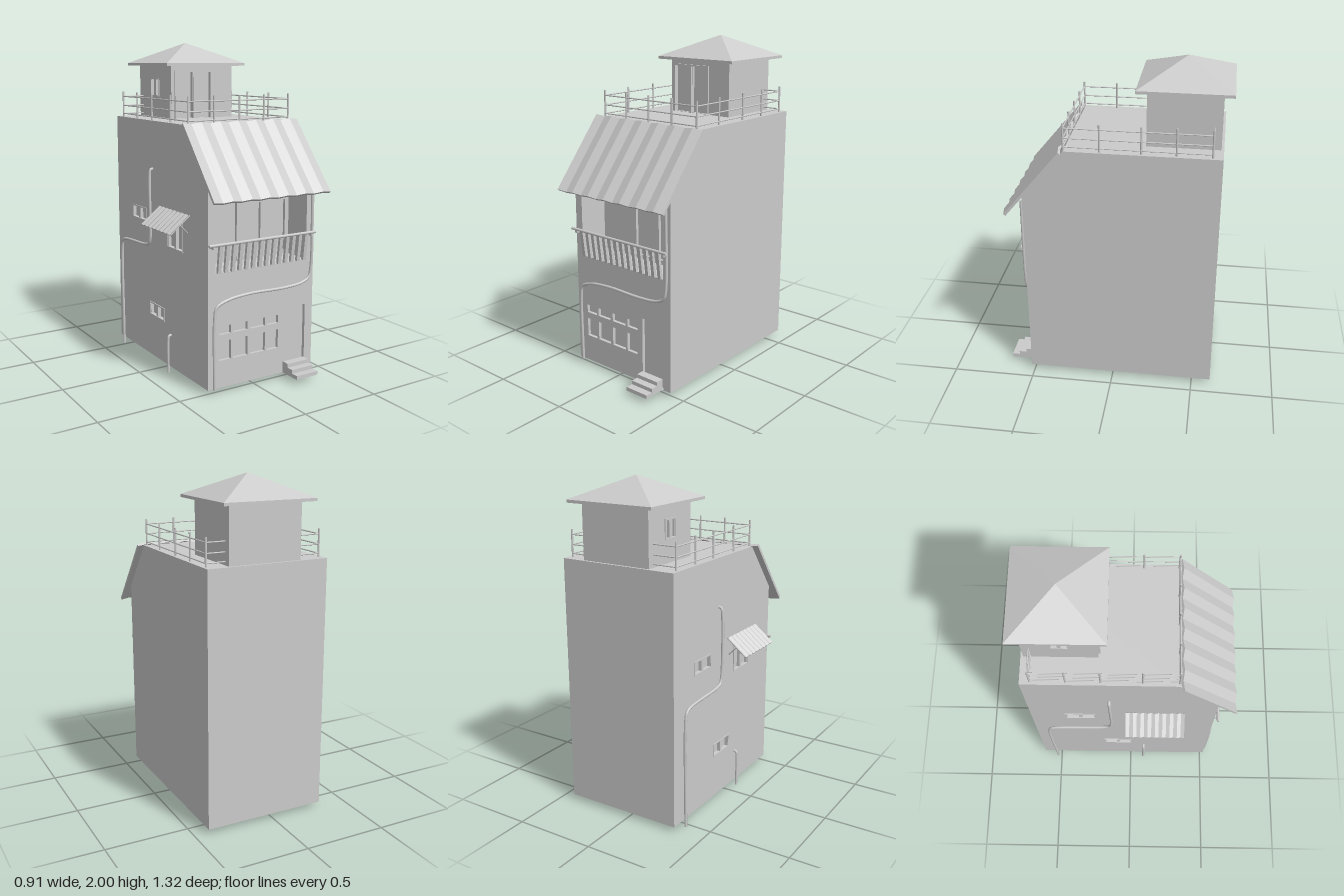
import * as THREE from 'three';

const mat = new THREE.MeshStandardMaterial({ color: 0xcccccc, side: THREE.DoubleSide, flatShading: true });
const smooth = new THREE.MeshStandardMaterial({ color: 0xcccccc });

function add(parent, name, geometry, material = mat) {
  const mesh = new THREE.Mesh(geometry, material);
  mesh.name = name;
  parent.add(mesh);
  return mesh;
}

function group(parent, name, x = 0, y = 0, z = 0, turn = 0) {
  const g = new THREE.Group();
  g.name = name;
  g.position.set(x, y, z);
  g.rotation.y = turn;
  parent.add(g);
  return g;
}

// Box given by its two corners
function box(parent, name, x0, x1, y0, y1, z0, z1) {
  const g = new THREE.BoxGeometry(x1 - x0, y1 - y0, z1 - z0);
  g.translate((x0 + x1) / 2, (y0 + y1) / 2, (z0 + z1) / 2);
  return add(parent, name, g);
}

const rectPoints = ([x0, x1, y0, y1]) =>
  [[x0, y0], [x1, y0], [x1, y1], [x0, y1]].map(p => new THREE.Vector2(...p));

// Inward-facing niche behind an opening, without its front face
function niche(parent, name, [x0, x1, y0, y1], depth) {
  const g = new THREE.BoxGeometry(x1 - x0, y1 - y0, depth);
  const idx = Array.from(g.index.array);
  idx.splice(24, 6);
  g.setIndex(idx.reverse());
  g.computeVertexNormals();
  g.translate((x0 + x1) / 2, (y0 + y1) / 2, -depth / 2);
  add(parent, name, g);
}

// Thin wall in its local xy plane; each opening is {name, r: [x0, x1, y0, y1], d: depth}
function wall(parent, name, outline, openings = []) {
  const shape = new THREE.Shape(outline.map(p => new THREE.Vector2(...p)));
  for (const o of openings) {
    shape.holes.push(new THREE.Path(rectPoints(o.r)));
    niche(parent, o.name, o.r, o.d);
  }
  add(parent, name, new THREE.ShapeGeometry(shape));
}

// Raised rectangular border
function frame(parent, name, r, t, depth, z = 0) {
  const [x0, x1, y0, y1] = r;
  const s = new THREE.Shape(rectPoints(r));
  s.holes.push(new THREE.Path(rectPoints([x0 + t, x1 - t, y0 + t, y1 - t])));
  const g = new THREE.ExtrudeGeometry(s, { depth, bevelEnabled: false });
  g.translate(0, 0, z);
  add(parent, name, g);
}

// Pair of panes side by side around a centre
const pair = (name, x, y, w, h, d) => [-1, 1].map(s => ({
  name, d, r: [x + s * (w / 4 + 0.002) - w / 4 + 0.008, x + s * (w / 4 + 0.002) + w / 4 - 0.008, y - h / 2, y + h / 2]
}));

// Wavy sheet sloping down and outwards (+z) from its top edge
function corrugated(parent, name, width, run, drop, periods, amp, thick) {
  const n = Math.round(periods * 4), top = [], bottom = [];
  for (let i = 0; i <= n; i++) {
    const x = (i / n - 0.5) * width, y = amp * Math.cos((i / n) * periods * Math.PI * 2);
    top.push(new THREE.Vector2(x, y));
    bottom.unshift(new THREE.Vector2(x, y - thick));
  }
  const g = new THREE.ExtrudeGeometry(new THREE.Shape([...bottom, ...top]),
    { depth: Math.hypot(run, drop), bevelEnabled: false });
  g.rotateX(Math.atan2(drop, run));
  return add(parent, name, g);
}

function pipe(parent, name, points, radius) {
  const curve = new THREE.CatmullRomCurve3(points.map(p => new THREE.Vector3(...p)), false, 'centripetal');
  add(parent, name, new THREE.TubeGeometry(curve, 80, radius, 8), smooth);
}

// Straight bar between two points
function bar(parent, name, a, b, r) {
  const A = new THREE.Vector3(...a), B = new THREE.Vector3(...b);
  const m = add(parent, name, new THREE.CylinderGeometry(r, r, A.distanceTo(B), 8), smooth);
  m.position.copy(A).add(B).multiplyScalar(0.5);
  m.quaternion.setFromUnitVectors(new THREE.Vector3(0, 1, 0), B.sub(A).normalize());
}

export function createModel() {
  const model = new THREE.Group();
  model.name = 'house';
  const L = -0.325, R = 0.42, F = 0.52, B = -0.615, y0 = 0.03, roofY = 1.53, eaveY = 1.23, slopeZ = 0.27;
  const width = R - L;

  // Front wall with shop windows, door and balcony opening
  const front = group(model, 'front', 0, 0, F);
  const openings = [
    { name: 'frontDoor', r: [0.205, 0.365, 0.031, 0.435], d: 0.02 },
    { name: 'balconyRecess', r: [-0.275, 0.365, 0.715, 1.2], d: 0.19 }
  ];
  for (const [a, b] of [[-0.25, -0.17], [-0.155, -0.055], [-0.035, 0.07], [0.085, 0.165]]) {
    openings.push({ name: 'shopWindow', r: [a, b, 0.195, 0.31], d: 0.02 });
    openings.push({ name: 'transomWindow', r: [a, b, 0.35, 0.4], d: 0.02 });
  }
  wall(front, 'frontWall', [[L, y0], [R, y0], [R, eaveY], [L, eaveY]], openings);

  // Steps to the door
  [0.14, 0.095, 0.05].forEach((d, i) =>
    box(front, 'step', 0.205, 0.36, y0 + i * 0.023, y0 + (i + 1) * 0.023, 0, d));

  // Balcony door, leaning balusters and handrail
  frame(front, 'balconyDoorFrame', [-0.02, 0.36, 0.717, 1.085], 0.027, 0.018, -0.19);
  box(front, 'balconyDoorPost', 0.15, 0.185, 0.72, 1.06, -0.19, -0.172);
  for (let i = 0; i < 14; i++) {
    const b = add(front, 'baluster', new THREE.BoxGeometry(0.022, 0.165, 0.018));
    b.position.set(-0.255 + i * 0.0462, 0.797, 0.012);
    b.rotation.x = 0.12;
  }
  bar(front, 'handrail', [-0.335, 0.882, 0.027], [0.41, 0.882, 0.027], 0.009);
  for (const x of [-0.3, 0.388]) box(front, 'handrailBracket', x - 0.008, x + 0.008, 0.86, 0.88, 0, 0.03);

  // Drain pipe across the front
  pipe(front, 'frontPipe', [[-0.288, y0, 0.012], [-0.288, 0.46, 0.012], [-0.275, 0.52, 0.012], [-0.2, 0.552, 0.012],
    [-0.05, 0.568, 0.012], [0.2, 0.565, 0.012], [0.33, 0.578, 0.012], [0.38, 0.605, 0.012],
    [0.395, 0.66, 0.012], [0.395, 1.2, 0.012]], 0.009);

  // Side walls, back wall and roof (open underneath)
  const profile = [[B, y0], [F, y0], [F, eaveY], [slopeZ, roofY], [B, roofY]];
  const side = group(model, 'pipeSide', L, 0, 0, -Math.PI / 2);
  wall(side, 'pipeSideWall', profile, [
    ...pair('sideWindow', -0.31, 0.935, 0.18, 0.07, 0.02),
    ...pair('sideWindow', -0.085, 0.34, 0.18, 0.07, 0.02),
    ...pair('awningWindow', 0.15, 0.88, 0.18, 0.18, 0.02)
  ]);
  for (const [z, y, h] of [[-0.31, 0.935, 0.07], [-0.085, 0.34, 0.07], [0.15, 0.88, 0.18]])
    frame(side, 'sideWindowFrame', [z - 0.095, z + 0.095, y - h / 2 - 0.008, y + h / 2 + 0.008], 0.008, 0.005);
  wall(group(model, 'plainSide', R, 0, 0, Math.PI / 2), 'plainSideWall', profile.map(([z, y]) => [-z, y]).reverse());
  wall(group(model, 'back', 0, 0, B, Math.PI), 'backWall', [[-R, y0], [-L, y0], [-L, roofY], [-R, roofY]]);
  const flat = new THREE.PlaneGeometry(width, slopeZ - B).rotateX(-Math.PI / 2);
  add(model, 'flatRoof', flat.translate((L + R) / 2, roofY, (slopeZ + B) / 2));
  const run = F - slopeZ, drop = roofY - eaveY;
  const slope = new THREE.PlaneGeometry(width, Math.hypot(run, drop)).rotateX(-Math.atan2(run, drop));
  add(model, 'slopedRoof', slope.translate((L + R) / 2, (roofY + eaveY) / 2, (slopeZ + F) / 2));

  // Corrugated front roof and small side awning with struts
  corrugated(model, 'frontAwning', 0.81, 0.335, 0.405, 6.5, 0.006, 0.016).position.set(0.05, 1.54, 0.295);
  corrugated(side, 'sideAwning', 0.36, 0.125, 0.1, 8, 0.004, 0.006).position.set(0.15, 1.02, 0.003);
  for (const z of [0, 0.3]) bar(side, 'awningStrut', [z, 0.91, 0], [z, 0.965, 0.055], 0.004);

  // Pipes on the side wall
  pipe(side, 'sidePipe', [[-0.525, 0, 0.022], [-0.525, 0.68, 0.022], [-0.51, 0.72, 0.022], [-0.47, 0.735, 0.022],
    [-0.18, 0.755, 0.022], [-0.14, 0.77, 0.022], [-0.125, 0.81, 0.022], [-0.125, 1.2, 0.022],
    [-0.125, 1.232, 0.016], [-0.125, 1.237, -0.005]], 0.009);
  pipe(side, 'shortPipe', [[0.09, 0, 0.02], [0.09, 0.2, 0.02], [0.09, 0.23, 0.015], [0.09, 0.237, -0.005]], 0.008);

  // Roof railing
  const rail = group(model, 'roofRailing');
  const xs = [-0.305, -0.13, 0.045, 0.22, 0.4], zs = [0.272, 0.068, -0.165, -0.36, -0.557];
  const post = (x, z) => bar(rail, 'railPost', [x, roofY, z], [x, 1.69, z], 0.006);
  xs.forEach(x => post(x, zs[0]));
  zs.slice(1).forEach(z => [xs[0], xs[4]].forEach(x => post(x, z)));
  for (const y of [1.55, 1.602, 1.66]) {
    bar(rail, 'frontRail', [xs[0], y, zs[0]], [xs[4], y, zs[0]], 0.004);
    for (const x of [xs[0], xs[4]]) bar(rail, 'sideRail', [x, y, zs[0]], [x, y, zs[4]], 0.004);
    bar(rail, 'backRail', [xs[0], y, zs[4]], [-0.16, y, zs[4]], 0.004);
    bar(rail, 'backRail', [0.285, y, zs[4]], [xs[4], y, zs[4]], 0.004);
  }

  // Roof hut: walls, doors, side window, pyramid roof
  const hut = group(model, 'roofHut', 0.0625, roofY, -0.39);
  const w = 0.2225, d = 0.21, h = 0.33;
  const rect = a => [[-a, 0], [a, 0], [a, h], [-a, h]];
  const hutFront = group(hut, 'hutFront', 0, 0, d);
  const doors = [[-0.19, -0.072], [-0.058, 0.06]];
  wall(hutFront, 'hutFrontWall', rect(w), doors.map(([a, b]) => ({ name: 'hutDoor', r: [a, b, 0.002, 0.287], d: 0.02 })));
  for (const x of [-0.2, -0.07, 0.062]) box(hutFront, 'hutDoorPost', x, x + 0.01, 0, 0.295, 0, 0.01);
  box(hutFront, 'hutDoorLintel', -0.2, 0.072, 0.287, 0.297, 0, 0.01);
  const hutLeft = group(hut, 'hutWindowSide', -w, 0, 0, -Math.PI / 2);
  wall(hutLeft, 'hutWindowWall', rect(d), pair('hutWindow', 0, 0.19, 0.1, 0.1, 0.015));
  frame(hutLeft, 'hutWindowFrame', [-0.055, 0.055, 0.132, 0.248], 0.008, 0.005);
  wall(group(hut, 'hutPlainSide', w, 0, 0, Math.PI / 2), 'hutPlainWall', rect(d));
  wall(group(hut, 'hutBack', 0, 0, -d, Math.PI), 'hutBackWall', rect(w));
  box(hut, 'hutEave', -0.2825, 0.2825, 0.325, 0.342, -0.268, 0.268);
  const cap = new THREE.ConeGeometry(Math.SQRT1_2, 1, 4).rotateY(Math.PI / 4);
  cap.scale(0.565, 0.128, 0.536).translate(0, 0.342 + 0.064, 0);
  add(hut, 'hutRoof', cap);

  return model;
}
